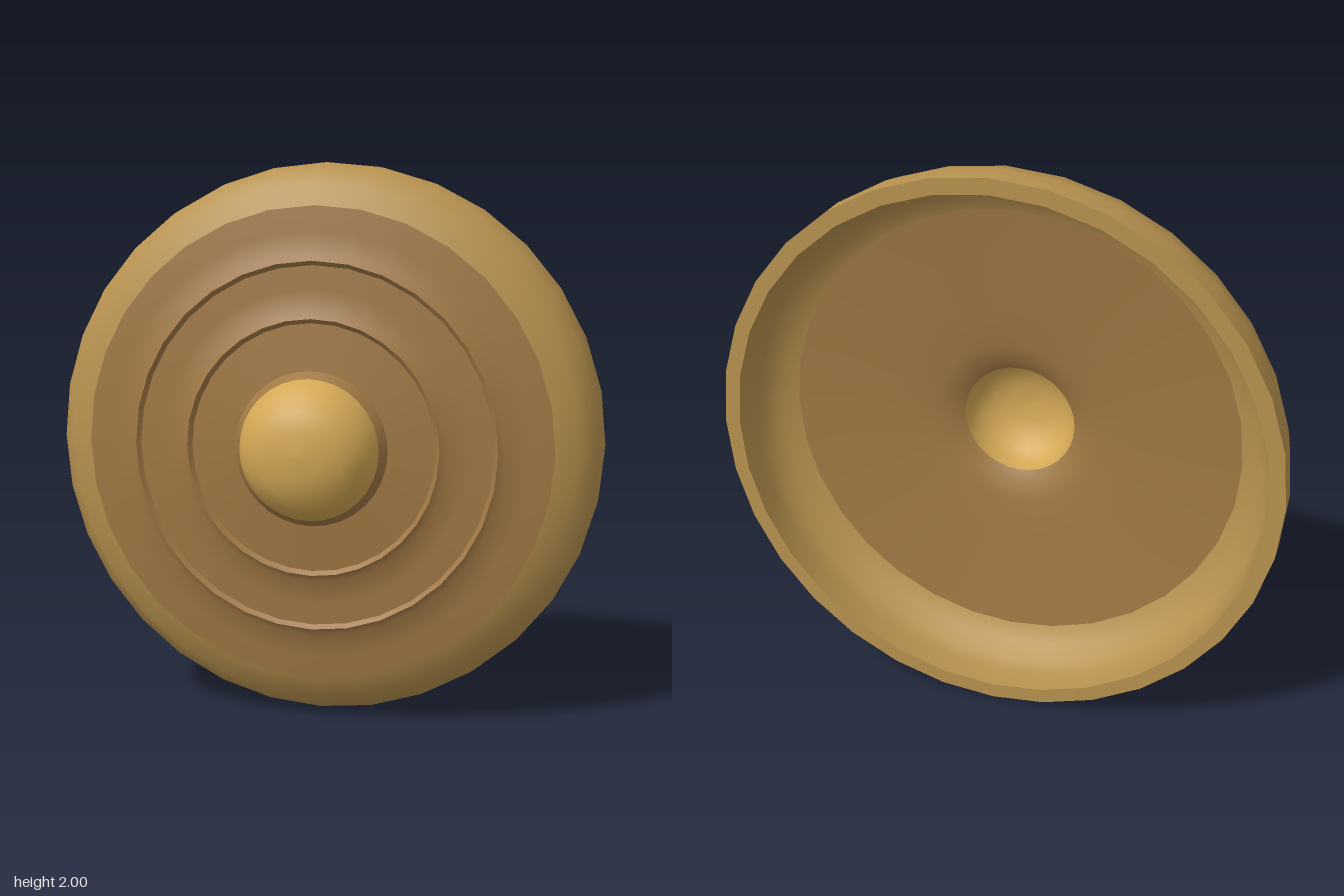
import * as THREE from 'three';
import { toCreasedNormals } from 'three/addons/utils/BufferGeometryUtils.js';

const SEGMENTS = 32;

export function createModel() {
  const rimBronze = new THREE.MeshStandardMaterial({ color: 0xb8924f });
  rimBronze.name = 'rim bronze';
  const faceBronze = new THREE.MeshStandardMaterial({ color: 0xa07844 });
  faceBronze.name = 'face bronze';
  const bossBrass = new THREE.MeshStandardMaterial({ color: 0xd4a855 });
  bossBrass.name = 'boss brass';

  const gong = new THREE.Group();
  gong.name = 'gong';

  // Revolves a [radius, depth] profile around the z axis.
  function revolve(name, profile, material, creased = false) {
    const points = profile.map(([r, z]) => new THREE.Vector2(r, z));
    let geometry = new THREE.LatheGeometry(points, SEGMENTS);
    if (creased) geometry = toCreasedNormals(geometry, 0.75);
    geometry.rotateX(Math.PI / 2);
    const mesh = new THREE.Mesh(geometry, material);
    mesh.name = name;
    gong.add(mesh);
  }

  // Turned-back rim: outside, flat back lip and inside
  revolve('rimOuter', [
    [1, -0.265], [1, -0.17], [0.983, -0.08], [0.925, -0.018], [0.845, 0.015],
  ], rimBronze);
  revolve('rimLip', [[0.945, -0.265], [1, -0.265]], rimBronze);
  revolve('rimInner', [
    [0.82, -0.035], [0.885, -0.065], [0.928, -0.115], [0.945, -0.17], [0.945, -0.265],
  ], rimBronze);

  // Front face with two raised rings and a flared collar around the boss
  revolve('faceFront', [
    [0.845, 0.015], [0.76, 0.027], [0.68, 0.036],
    [0.655, 0.054], [0.64, 0.04],
    [0.56, 0.046], [0.48, 0.052],
    [0.455, 0.07], [0.44, 0.055],
    [0.36, 0.062], [0.275, 0.07], [0.25, 0.105],
  ], faceBronze, true);

  // Smooth back of the face, curving into the hollow boss
  revolve('faceBack', [
    [0.205, 0.06], [0.245, 0.035], [0.31, 0.017], [0.45, 0.002], [0.63, -0.015], [0.82, -0.035],
  ], faceBronze);

  // Central boss, domed in front and hollow behind
  revolve('bossFront', [
    [0.25, 0.105], [0.238, 0.145], [0.205, 0.2], [0.15, 0.24], [0.08, 0.259], [0, 0.265],
  ], bossBrass);
  revolve('bossHollow', [
    [0, 0.215], [0.07, 0.21], [0.13, 0.19], [0.175, 0.155], [0.198, 0.11], [0.205, 0.06],
  ], bossBrass);

  gong.position.y = 1;
  const model = new THREE.Group();
  model.name = 'model';
  model.add(gong);
  return model;
}
